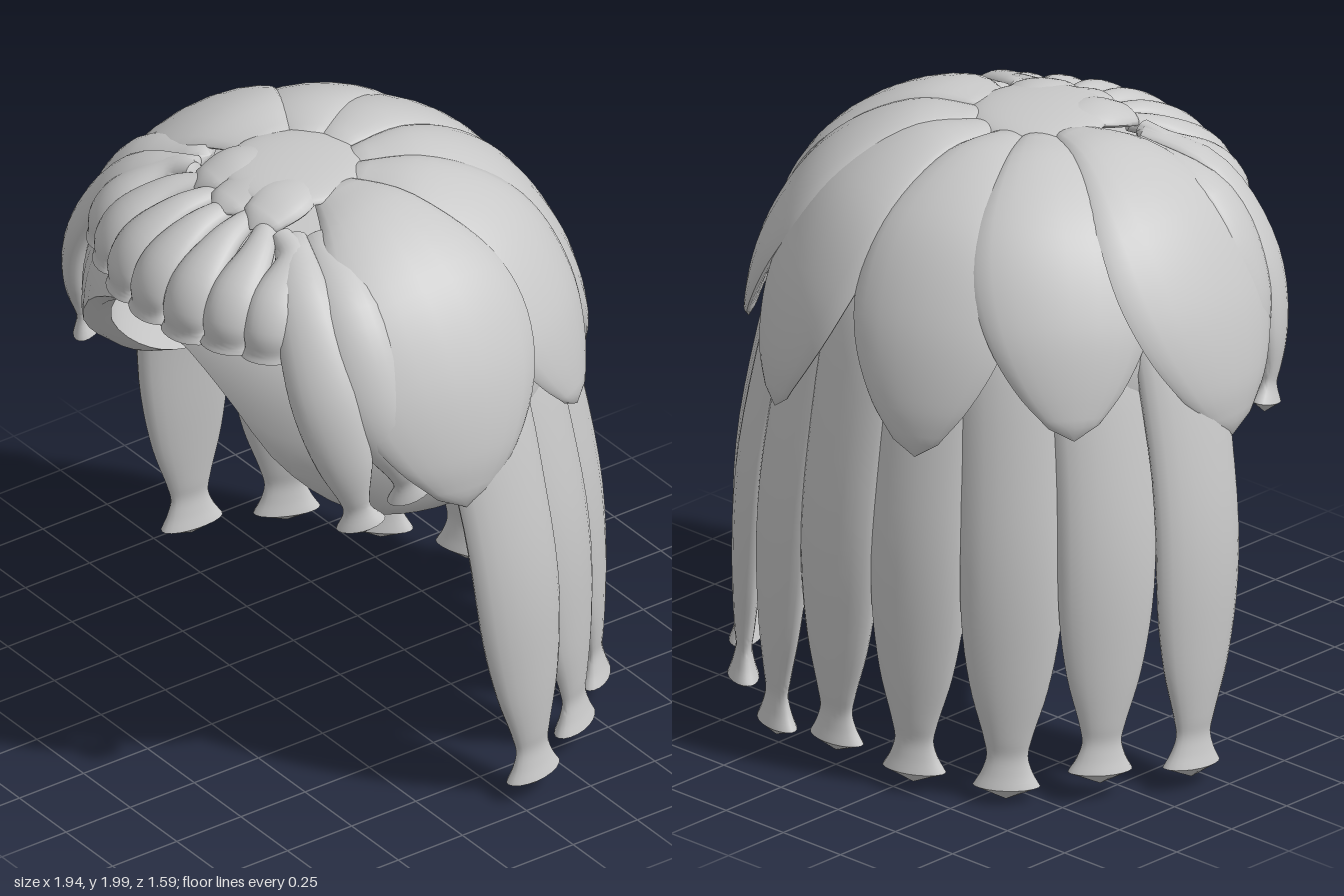
import * as THREE from 'three';
import { toCreasedNormals } from 'three/addons/utils/BufferGeometryUtils.js';

const V = (x, y, z) => new THREE.Vector3(x, y, z);
const hair = new THREE.MeshStandardMaterial({ color: 0xc8c8c8, side: THREE.DoubleSide });
hair.name = 'hair grey';

// Skins rings of points (top to bottom, counter-clockwise about the path) into a smooth surface
function skin(rings, crease) {
  const n = rings[0].length, pos = [], index = [];
  rings.forEach(r => r.forEach(p => pos.push(p.x, p.y, p.z)));
  for (let i = 0; i < rings.length - 1; i++) {
    for (let j = 0; j < n; j++) {
      const a = i * n + j, b = i * n + (j + 1) % n;
      index.push(a, b, a + n, b, b + n, a + n);
    }
  }
  const geo = new THREE.BufferGeometry();
  geo.setAttribute('position', new THREE.Float32BufferAttribute(pos, 3));
  geo.setIndex(index);
  return toCreasedNormals(geo, crease);
}

// A lock of hair: profile rows are [t, halfWidth, halfDepth]; it closes to a point at t = 1
function lock(name, points, profile, bend = 0.5) {
  const path = new THREE.CatmullRomCurve3(points);
  const shape = new THREE.CatmullRomCurve3(profile.map(p => V(...p)), false, 'centripetal');
  const rows = [V(0, 0.001, 0.001), ...shape.getPoints(profile.length * 4), V(1, 0.0005, 0.0005)];
  const rings = rows.map(({ x, y: w, z: d }) => {
    const t = THREE.MathUtils.clamp(x, 0, 1);
    const p = path.getPointAt(t), T = path.getTangentAt(t);
    const N = p.clone().sub(V(0, Math.min(p.y, 1.3), 0.05));
    N.addScaledVector(T, -N.dot(T)).normalize();
    const S = N.clone().cross(T);
    return Array.from({ length: 20 }, (_, j) => {
      const a = j / 20 * Math.PI * 2, u = Math.cos(a) * w;
      return p.clone().addScaledVector(S, u).addScaledVector(N, Math.sin(a) * d - bend * u * u);
    });
  });
  const mesh = new THREE.Mesh(skin(rings, 0.9), hair);
  mesh.name = name;
  return mesh;
}

// Height of the cap's rim by angle in degrees from the front
const rim = new THREE.CubicInterpolant(
  [0, 15, 29, 42, 53, 65, 80, 105, 140, 181],
  [1.6, 1.57, 1.46, 1.27, 1.14, 1.05, 1.0, 0.96, 0.95, 0.95], 1);

// Hollow cap with an arched face opening
function makeCap() {
  const n = 72, steps = 22, rings = [];
  const point = (a, k, inset) => {
    const low = rim.evaluate(THREE.MathUtils.radToDeg(Math.min(a, Math.PI * 2 - a)))[0];
    const top = 1.9 - inset;
    const y = top - (top - low) * (1 - Math.cos(k * Math.PI / 2));
    const h = (y - 1.35) / (top - 1.35);
    const f = h > 0 ? Math.pow(Math.max(0, 1 - Math.pow(h, 2.6)), 1 / 2.4) : 1 - 0.2 * Math.pow(-h * 0.55 / 0.4, 1.6);
    const c = Math.cos(a);
    const z = c > 0 ? (0.78 - inset) * Math.pow(c, 0.75) : (0.65 - inset) * c;
    return V((0.79 - inset) * f * Math.sin(a), y, z * f);
  };
  const ring = (k, inset, drop = 0) => Array.from({ length: n }, (_, j) => {
    const p = point(j / n * Math.PI * 2, k, inset);
    p.y -= drop;
    return p;
  });
  for (let i = 0; i <= steps; i++) rings.push(ring(i / steps, 0));
  rings.push(ring(1, 0.04, 0.02));
  for (let i = steps; i >= 0; i--) rings.push(ring(i / steps, 0.085));
  const mesh = new THREE.Mesh(skin(rings, 1.0), hair);
  mesh.name = 'cap';
  return mesh;
}

export function createModel() {
  const group = new THREE.Group();
  group.add(makeCap());

  // Long back locks with pinched, flared ends: [x, z, tip height]
  const longProfile = [[0, 0.1, 0.03], [0.12, 0.165, 0.055], [0.4, 0.168, 0.055], [0.64, 0.16, 0.055],
    [0.78, 0.125, 0.045], [0.88, 0.077, 0.032], [0.915, 0.066, 0.026], [0.945, 0.08, 0.035], [0.974, 0.107, 0.05]];
  const ends = [[-0.92, -0.09, 0.03], [-0.78, -0.36, 0.05], [-0.58, -0.58, 0.005], [-0.3, -0.71, 0.02], [0, -0.75, 0.05],
    [0.3, -0.71, 0], [0.57, -0.58, 0.04], [0.77, -0.36, 0.04], [0.92, -0.09, 0.03]];
  for (const [x, z, y] of ends) {
    const at = (s, h, dz) => V(x * s, h, z * s + dz * Math.abs(x));
    group.add(lock('longLock', [at(0.7, 1.68, 0.09), at(0.82, 1.48, 0.09), at(0.91, 1.2, 0.08), at(0.98, 0.85, 0.06),
      at(1, 0.45, 0.03), at(1, y, 0)], longProfile));
  }

  // Broad leaf-shaped locks over the sides and back: [degrees, tip height, reach, width]
  const broadProfile = [[0.02, 0.07, 0.02], [0.2, 0.18, 0.035], [0.4, 0.29, 0.045], [0.56, 0.32, 0.045],
    [0.72, 0.285, 0.04], [0.86, 0.195, 0.03], [0.96, 0.09, 0.018]];
  const broad = [[79, 1.12, 1.05, 1.1], [124, 1.22, 1.01, 0.92], [160, 1.13, 1.05, 0.86],
    [-160, 1.14, 1.05, 0.86], [-124, 1.22, 1.01, 0.92], [-79, 1.12, 1.05, 1.1]];
  for (const [deg, tip, reach, width] of broad) {
    const a = THREE.MathUtils.degToRad(deg), ex = 0.85 * reach * Math.sin(a), ez = 0.72 * reach * Math.cos(a);
    const at = (f, y) => V(ex * f, y, 0.15 * (1 - f) + ez * f);
    group.add(lock('broadLock',
      [at(0.16, 1.945), at(0.42, 1.94), at(0.7, 1.8), at(0.89, 1.56), at(0.985, 1.3), at(1, tip)],
      broadProfile.map(([t, w, d]) => [t, w * width, d])));
  }

  // Inner locks hanging behind the face opening
  for (let i = -2; i <= 2; i++) {
    const x = i * 0.18, z = -0.53 + 0.4 * x * x;
    group.add(lock('innerLock', [V(x, 1.48, z), V(x, 1.34, z - 0.02), V(x, i % 2 ? 1.23 : 1.18, z - 0.02)],
      [[0.02, 0.11, 0.03], [0.5, 0.12, 0.04], [0.85, 0.08, 0.03]]));
  }

  // Two slim flared locks beside the face, mirrored
  const sideProfile = [[0.02, 0.05, 0.03], [0.3, 0.1, 0.045], [0.55, 0.115, 0.05], [0.75, 0.09, 0.045],
    [0.87, 0.05, 0.028], [0.91, 0.045, 0.024], [0.965, 0.08, 0.045]];
  for (const s of [-1, 1]) {
    group.add(lock('frontSideLock', [V(s * 0.24, 1.9, 0.37), V(s * 0.46, 1.81, 0.48), V(s * 0.64, 1.56, 0.525),
      V(s * 0.72, 1.28, 0.49), V(s * 0.73, 1.06, 0.44)], sideProfile));
    group.add(lock('rearSideLock', [V(s * 0.28, 1.9, 0.3), V(s * 0.57, 1.78, 0.38), V(s * 0.72, 1.52, 0.39),
      V(s * 0.77, 1.28, 0.32), V(s * 0.75, 1.13, 0.26)], sideProfile));
  }

  // Fringe of short locks with flared hems
  const fringeProfile = [[0.02, 0.035, 0.03], [0.3, 0.06, 0.04], [0.6, 0.088, 0.045], [0.82, 0.086, 0.045],
    [0.92, 0.08, 0.04], [0.975, 0.097, 0.052]];
  [-0.45, -0.32, -0.165, 0, 0.165, 0.32, 0.45].forEach((x, i) => {
    const z = 0.76 - 0.7 * x * x, tip = 1.605 + (i % 2) * 0.008 + 0.1 * x * x;
    group.add(lock('fringeLock', [V(x * 0.5, 1.9, 0.4), V(x * 0.72, 1.87, z - 0.2), V(x * 0.93, 1.78, z - 0.06),
      V(x, 1.69, z - 0.015), V(x, tip, z - 0.02)], fringeProfile));
  });

  // Shallow crown disc with three wisps spilling forward
  const crown = new THREE.Mesh(new THREE.SphereGeometry(0.225, 32, 12, 0, Math.PI * 2, 0, Math.PI / 2), hair);
  crown.name = 'crown';
  crown.scale.y = 0.2;
  crown.position.set(0, 1.945, 0.18);
  group.add(crown);
  for (const x of [-0.13, 0, 0.13]) {
    group.add(lock('crownWisp', [V(x * 0.5, 1.955, 0.15), V(x, 1.95, 0.32), V(x * 1.15, 1.9, 0.5 - Math.abs(x) * 0.3)],
      [[0.03, 0.05, 0.02], [0.5, 0.1, 0.03], [0.85, 0.075, 0.025]]));
  }
  return group;
}
